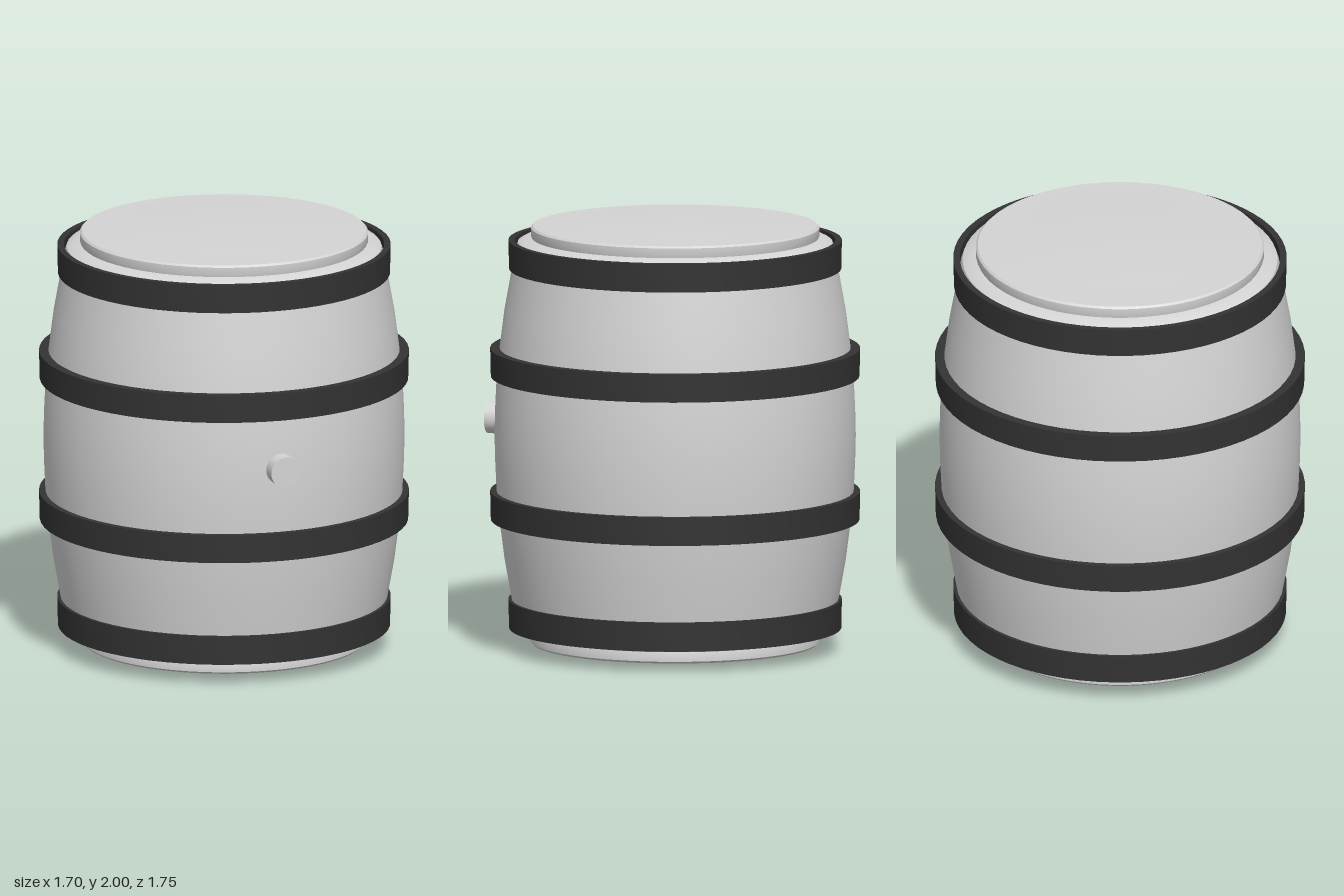
import * as THREE from 'three';
import { toCreasedNormals } from 'three/addons/utils/BufferGeometryUtils.js';

const MID = 1; // height of the barrel's waist

export function createModel() {
  const barrel = new THREE.Group();
  barrel.name = 'barrel';
  const wood = new THREE.MeshStandardMaterial({ color: 0xd4d4d4 });
  wood.name = 'pale wood';
  const iron = new THREE.MeshStandardMaterial({ color: 0x333333 });
  iron.name = 'dark iron';

  // Profiles are [radius, height] pairs, running upwards on the outside
  const turned = (name, profile, material) => {
    const points = profile.map(([r, y]) => new THREE.Vector2(r, y));
    const mesh = new THREE.Mesh(toCreasedNormals(new THREE.LatheGeometry(points, 64), 0.6), material);
    mesh.name = name;
    mesh.position.z = -0.025;
    barrel.add(mesh);
  };

  // Bulging body with rolled shoulders, mirrored about the waist
  const upper = [[0.829, 0.12], [0.822, 0.27], [0.809, 0.4], [0.786, 0.58],
    [0.752, 0.77], [0.737, 0.86], [0.725, 0.895], [0.69, 0.913], [0.64, 0.92]];
  const lower = upper.map(([r, h]) => [r, MID - h]).reverse();
  turned('body', [...lower, [0.832, MID], ...upper.map(([r, h]) => [r, MID + h])], wood);

  // Slightly peaked end lids
  const lid = [[0.655, 0.9], [0.664, 0.925], [0.664, 0.962], [0.655, 0.971], [0.42, 0.975], [0, 1]];
  turned('topLid', lid.map(([r, h]) => [r, MID + h]), wood);
  turned('bottomLid', lid.map(([r, h]) => [r, MID - h]).reverse(), wood);

  // Four iron hoops
  const hoop = (name, y0, y1, inner, outer) => turned(name,
    [[inner, y0], [outer - 0.003, y0], [outer, y1], [inner, y1], [inner, y0]], iron);
  hoop('bottomHoop', 0.1, 0.235, 0.738, 0.768);
  hoop('lowerHoop', 0.605, 0.737, 0.8, 0.852);
  hoop('upperHoop', 1.272, 1.402, 0.8, 0.852);
  hoop('topHoop', 1.772, 1.905, 0.738, 0.768);

  // Bung on the front
  const bung = new THREE.Mesh(new THREE.CylinderGeometry(0.073, 0.073, 0.12, 32), wood);
  bung.name = 'bung';
  bung.rotation.x = Math.PI / 2;
  bung.position.set(0, 1.037, 0.817);
  barrel.add(bung);

  return barrel;
}
